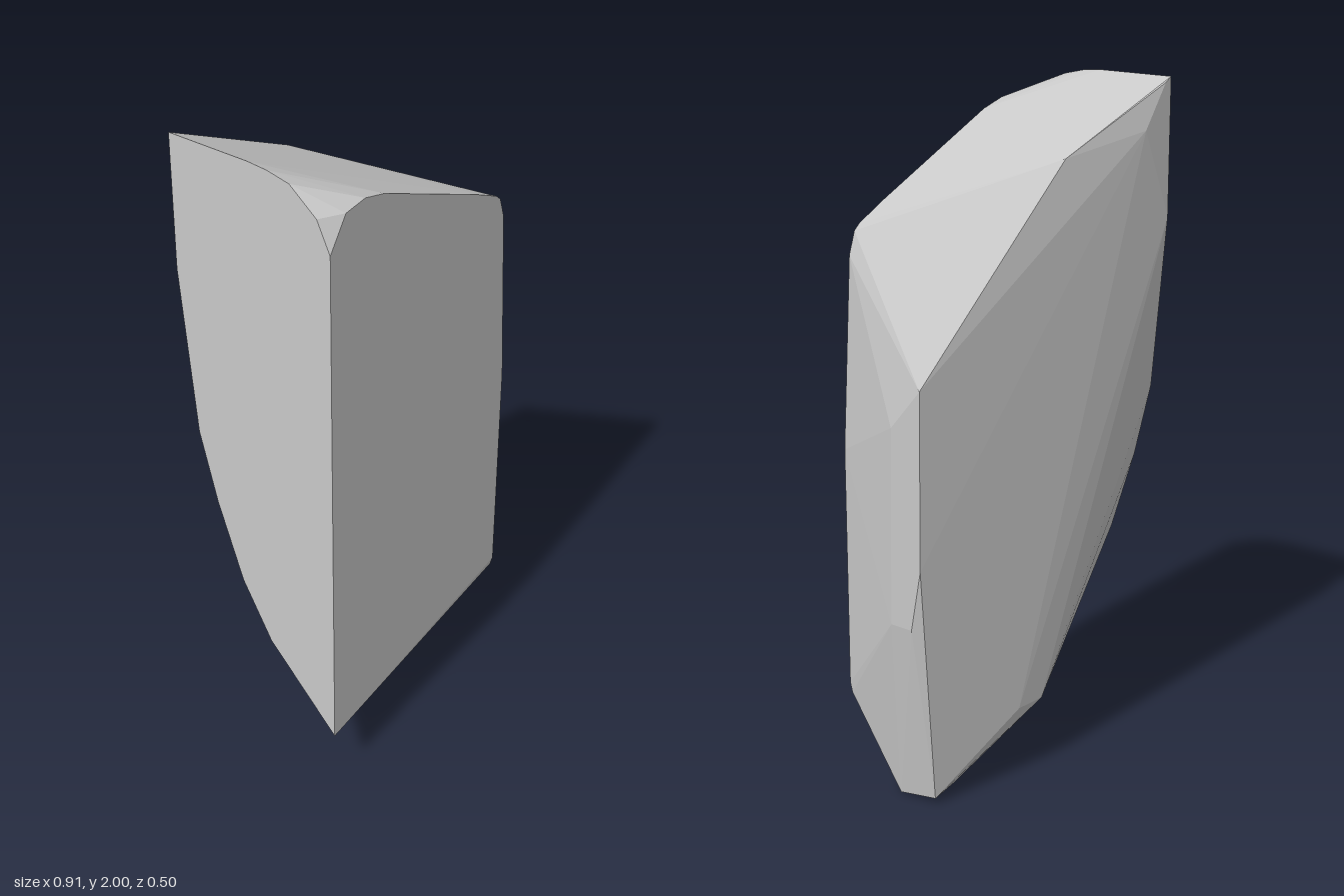
import * as THREE from 'three';
import { ConvexGeometry } from 'three/addons/geometries/ConvexGeometry.js';

// Corners of the rock slab, grouped by the side they lie on
const FRONT_Z = 0.25, LEFT_X = -0.455, RIGHT_X = 0.455;

// flat front face: x, y
const front = [
  [LEFT_X, 0.185], [LEFT_X, 1.82], [-0.39, 1.91], [-0.31, 1.915], [-0.23, 1.89],
  [0.2, 1.685], [0.3, 1.633], [0.32, 1.615], [0.342, 1.55], [0.378, 1.0], [0.378, 0.29],
];

// flat cut side: y, z
const cutSide = [
  [1.91, 0.21], [1.98, 0.128], [1.995, 0.06], [2.0, 0], [2.0, -0.25],
  [1.6, -0.25], [1.09, -0.205], [0.867, -0.15], [0.62, -0.07], [0.438, 0.025],
];

// narrow outer side: y, z
const outerSide = [[1.25, -0.105], [1.13, 0], [0.56, 0.01], [0.56, -0.065], [0.74, -0.1]];

// back ridge and tapered foot: x, y, z
const backAndFoot = [
  [-0.43, 1.985, -0.25], [-0.34, 1.86, -0.25], [-0.06, 1.81, -0.185],
  [-0.014, 0.22, -0.15], [0.086, 0.22, -0.147],
  [0.27, 0.018, -0.05], [0.375, 0.02, -0.075], [0.378, 0, 0.055], [0.378, 0.26, 0.242],
];

export function createModel() {
  const stone = new THREE.MeshStandardMaterial({ color: 0xc8c8c8 });
  stone.name = 'stone grey';
  stone.flatShading = true;

  const corners = [
    ...front.map(([x, y]) => [x, y, FRONT_Z]),
    ...cutSide.map(([y, z]) => [LEFT_X, y, z]),
    ...outerSide.map(([y, z]) => [RIGHT_X, y, z]),
    ...backAndFoot,
  ].map((p) => new THREE.Vector3(...p));

  const rock = new THREE.Mesh(new ConvexGeometry(corners), stone);
  rock.name = 'rockSlab';

  const group = new THREE.Group();
  group.name = 'rock';
  group.add(rock);
  return group;
}
